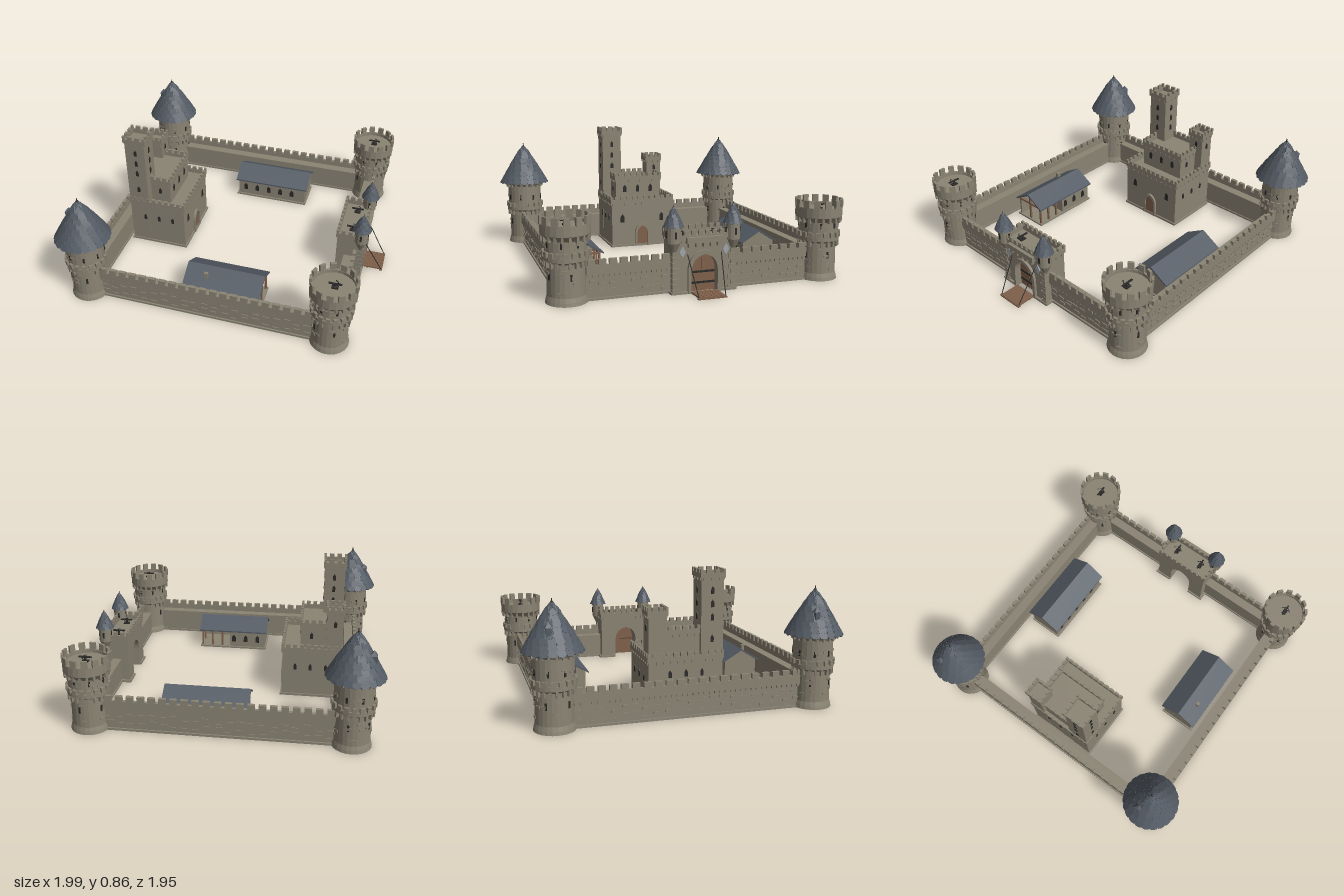
import * as THREE from 'three';
import { mergeGeometries } from 'three/addons/utils/BufferGeometryUtils.js';

const mat = (color) => new THREE.MeshStandardMaterial({ color, flatShading: true });
const STONE = mat(0x8b8474), SLATE = mat(0x545b64), WOOD = mat(0x80604a), DARK = mat(0x2b2a29), PALE = mat(0xa2a6aa);
let seed = 7;
const rnd = () => (seed = (seed * 16807) % 2147483647) / 2147483647;

const merge = (name, material, geos) => {
  const m = new THREE.Mesh(mergeGeometries(geos.map((g) => (g.index ? g.toNonIndexed() : g))), material);
  m.name = name;
  return m;
};
const group = (name, ...kids) => {
  const g = new THREE.Group();
  g.name = name;
  return kids.length ? g.add(...kids) : g;
};
// box given by its bounds
const span = (x0, x1, y0, y1, z0, z1) =>
  new THREE.BoxGeometry(x1 - x0, y1 - y0, z1 - z0).translate((x0 + x1) / 2, (y0 + y1) / 2, (z0 + z1) / 2);
const lathe = (pts, n = 24) => new THREE.LatheGeometry(pts.map((p) => new THREE.Vector2(...p)), n);
const poly = (pts) => new THREE.Shape(pts.map((p) => new THREE.Vector2(...p)));
const extrude = (shape, depth) => new THREE.ExtrudeGeometry(shape, { depth, bevelEnabled: false, curveSegments: 8 });
// cross-section in (z, y) swept from x0 to x1
const sweepX = (shape, x0, x1) => extrude(shape, x1 - x0).rotateY(Math.PI / 2).translate(x0, 0, 0);
// n boxes standing around a circle
const ring = (n, r, y0, y1, w, d, off = 0) => Array.from({ length: n }, (_, i) =>
  span(-w / 2, w / 2, y0, y1, r - d / 2, r + d / 2).rotateY(((i + off) / n) * Math.PI * 2));
const rod = (a, b, r) => {
  const A = new THREE.Vector3(...a), B = new THREE.Vector3(...b);
  return new THREE.TubeGeometry(new THREE.LineCurve3(A, B), 1, r, 5);
};
// arched outline standing on y = 0
const arch = (w, spring, top) => {
  const s = new THREE.Shape();
  s.moveTo(-w, 0).lineTo(w, 0).lineTo(w, spring);
  s.quadraticCurveTo(w * 0.95, top - 0.015, 0, top).quadraticCurveTo(-w * 0.95, top - 0.015, -w, spring);
  return s;
};
const slit = (x, y, z, ry, w = 0.01, h = 0.045) =>
  extrude(arch(w, h * 0.65, h), 0.006).translate(0, 0, -0.003).rotateY(ry).translate(x, y, z);

// parapet, merlons and corbels round a rectangle
function battlement(x0, x1, z0, z1, y, h = 0.05, pitch = 0.045) {
  const out = [], t = 0.016, o = 0.008, m = h * 0.55;
  const side = (len, place) => {
    const n = Math.max(2, Math.round(len / pitch)), p = len / n;
    out.push(place(span(-len / 2, len / 2, y, y + m, -t, 0)));
    for (let i = 0; i <= n; i++) {
      const c = -len / 2 + i * p, a = Math.max(c - p * 0.3, -len / 2), b = Math.min(c + p * 0.3, len / 2);
      out.push(place(span(a, b, y + m, y + h, -t, 0)));
      if (i < n) out.push(place(span(c + p * 0.3, c + p * 0.7, y - 0.016, y, -t, -0.001)));
    }
  };
  x0 -= o; x1 += o; z0 -= o; z1 += o;
  const cx = (x0 + x1) / 2, cz = (z0 + z1) / 2;
  side(x1 - x0, (g) => g.translate(cx, 0, z1));
  side(x1 - x0, (g) => g.rotateY(Math.PI).translate(cx, 0, z0));
  side(z1 - z0, (g) => g.rotateY(Math.PI / 2).translate(x1, 0, cz));
  side(z1 - z0, (g) => g.rotateY(-Math.PI / 2).translate(x0, 0, cz));
  return out;
}

// shingled bell-cone roof with finial, base at y = 0
function shingleRoof(R, H, rows, n0) {
  const rad = (f) => R * Math.pow(Math.max(0, 1 - f), 0.87);
  const core = [[0, 0.004], [R * 0.93, 0.004]];
  for (let i = 1; i <= 8; i++) core.push([rad(i / 8) * 0.95, (H * i) / 8]);
  const tiles = [lathe(core, 20)];
  for (let i = 0; i < rows; i++) {
    const f = i / rows, f2 = Math.min(1, (i + 1.3) / rows), r = rad(f), dr = r - rad(f2), dy = (f2 - f) * H;
    const n = Math.max(6, Math.round((n0 * r) / R)), w = ((Math.PI * r) / n) * 1.02, L = Math.hypot(dr, dy);
    const shape = poly([[0, -L * 0.12], [w * 0.7, 0], [w, L * 0.3], [w * 0.75, L], [-w * 0.75, L], [-w, L * 0.3], [-w * 0.7, 0]]);
    for (let k = 0; k < n; k++)
      tiles.push(extrude(shape, R * 0.03).rotateX(-Math.atan2(dr, dy) + (rnd() - 0.5) * 0.08)
        .translate(0, f * H, r * 0.96).rotateY(((k + (i % 2) / 2) / n) * Math.PI * 2));
  }
  const s = H / 0.26;
  return group('roof', merge('shingles', SLATE, tiles), merge('finial', DARK, [
    rod([0, H - 0.01, 0], [0, H + 0.025 * s, 0], 0.003 * s), new THREE.SphereGeometry(0.007 * s, 8, 6).translate(0, H + 0.006 * s, 0)]));
}

// mounted bolt thrower pointing along +x
function boltThrower(x, y, z) {
  const bow = new THREE.QuadraticBezierCurve3(new THREE.Vector3(0, 0.03, -0.03), new THREE.Vector3(0.04, 0.03, 0), new THREE.Vector3(0, 0.03, 0.03));
  const m = merge('boltThrower', DARK, [span(-0.04, 0.04, 0.026, 0.034, -0.005, 0.005), span(-0.02, 0.02, 0, 0.008, -0.014, 0.014),
    span(-0.006, 0.006, 0, 0.03, -0.006, 0.006), new THREE.TubeGeometry(bow, 8, 0.003, 5)]);
  m.position.set(x, y, z);
  return m;
}

function cornerTower(x, z, roofed) {
  const top = roofed ? 0.455 : 0.395;
  const body = [[0, 0], [0.122, 0], [0.118, 0.02], [0.111, 0.045], [0.109, 0.235], [0.128, 0.248], [0.128, 0.275], [0.12, 0.275], [0.12, top - 0.03]];
  if (roofed) body.push([0.13, top - 0.012], [0.13, top], [0, top]);
  else body.push([0.143, top], [0.143, 0.455], [0.128, 0.455], [0.128, 0.435], [0, 0.435]);
  const stones = [lathe(body), ...ring(18, 0.127, 0.27, 0.302, 0.026, 0.014), ...ring(20, 0.116, 0.212, 0.246, 0.014, 0.022),
    ...ring(20, roofed ? 0.123 : 0.13, top - 0.035, top, 0.014, 0.022)];
  if (!roofed) stones.push(...ring(13, 0.137, 0.45, 0.5, 0.038, 0.016));
  for (let i = 0; i < 26; i++) {
    const low = i % 2, y = low ? 0.06 + rnd() * 0.13 : 0.31 + rnd() * 0.04;
    stones.push(...ring(1, low ? 0.109 : 0.118, y, y + 0.014, 0.03, 0.01, 0).map((g) => g.rotateY(rnd() * 6.28)));
  }
  const slits = [...ring(8, 0.12, 0.325, 0.36, 0.012, 0.006, 0.5), ...ring(5, 0.11, 0.14, 0.18, 0.012, 0.006, 0.3)];
  const t = group('cornerTower', merge('towerBody', STONE, stones), merge('arrowSlits', DARK, slits));
  if (roofed) {
    const r = shingleRoof(0.178, 0.265, 9, 22);
    r.position.y = 0.45;
    t.add(r, merge('dormer', SLATE, [span(-0.11, -0.07, 0.55, 0.6, -0.05, -0.02),
      new THREE.ConeGeometry(0.03, 0.03, 4).rotateY(Math.PI / 4).translate(-0.09, 0.612, -0.035)]));
  } else t.add(boltThrower(0.005, 0.435, 0));
  t.position.set(x, 0, z);
  return t;
}

// curtain wall along x, its outer side facing +z before turning
function curtainWall(len, x, z, ry) {
  const h = len / 2, g = [span(-h, h, 0, 0.165, -0.035, 0.026), span(-h, h, 0, 0.014, -0.042, 0.036),
    span(-h, h, 0.155, 0.17, -0.041, 0.026), span(-h, h, 0.15, 0.205, 0.02, 0.041)];
  const n = Math.round(len / 0.066), p = len / n;
  for (let i = 0; i < n; i++) {
    const c = -h + (i + 0.5) * p;
    g.push(span(c - 0.022, c + 0.022, 0.2, 0.237, 0.02, 0.041));
    for (const o of [-0.25, 0.25]) g.push(span(c + (o - 0.12) * p, c + (o + 0.12) * p, 0.134, 0.151, 0.02, 0.037));
    for (let k = 0; k < 2; k++) {
      const sx = c + (rnd() - 0.5) * p * 0.3, sy = 0.02 + k * 0.05 + rnd() * 0.04;
      g.push(span(sx - 0.02, sx + 0.02, sy, sy + 0.015, 0.02, 0.031));
    }
  }
  const m = merge('curtainWall', STONE, g);
  m.position.set(x, 0, z);
  m.rotation.y = ry;
  return m;
}

function keep() {
  const blocks = [[-0.75, -0.365, -0.232, 0.228, 0.32], [-0.73, -0.478, -0.175, 0.168, 0.475],
    [-0.752, -0.615, 0.09, 0.23, 0.805], [-0.752, -0.645, -0.232, -0.122, 0.595]];
  const stone = [], dark = [], Q = Math.PI / 2;
  for (const [x0, x1, z0, z1, y] of blocks) stone.push(span(x0, x1, 0, y, z0, z1), ...battlement(x0, x1, z0, z1, y));
  stone.push(span(-0.76, -0.355, 0, 0.015, -0.24, 0.236));
  for (const y of [0.42, 0.55, 0.63, 0.71])
    dark.push(slit(-0.68, y, 0.23, 0), slit(-0.68, y, 0.09, 0), slit(-0.752, y, 0.16, Q));
  for (const y of [0.55, 0.63, 0.71]) dark.push(slit(-0.615, y, 0.16, Q));
  for (const z of [-0.1, 0, 0.1]) dark.push(slit(-0.478, 0.385, z, Q, 0.012, 0.055), slit(-0.75, 0.22, z, Q));
  for (const z of [-0.15, 0.15]) dark.push(slit(-0.365, 0.18, z, Q, 0.014, 0.06));
  for (const x of [-0.65, -0.55, -0.45]) dark.push(slit(x, 0.19, 0.228, 0), slit(x, 0.19, -0.232, 0));
  dark.push(slit(-0.55, 0.39, 0.168, 0), slit(-0.55, 0.39, -0.175, 0), slit(-0.645, 0.52, -0.18, Q), slit(-0.7, 0.5, -0.232, 0));
  const frame = arch(0.055, 0.1, 0.17);
  frame.holes.push(arch(0.04, 0.09, 0.15));
  stone.push(sweepX(frame, -0.366, -0.35));
  return group('keep', merge('keepWalls', STONE, stone), merge('keepWindows', DARK, dark),
    merge('keepDoor', WOOD, [sweepX(arch(0.042, 0.09, 0.15), -0.366, -0.36)]));
}

function gatehouse() {
  const body = poly([[-0.19, 0], [-0.082, 0], [-0.082, 0.13]]);
  body.quadraticCurveTo(-0.078, 0.215, 0, 0.23).quadraticCurveTo(0.078, 0.215, 0.082, 0.13);
  body.lineTo(0.082, 0).lineTo(0.19, 0).lineTo(0.19, 0.315).lineTo(-0.19, 0.315);
  const frame = arch(0.102, 0.14, 0.255);
  frame.holes.push(arch(0.082, 0.13, 0.23));
  const stone = [sweepX(body, 0.69, 0.855), ...battlement(0.69, 0.855, -0.19, 0.19, 0.315, 0.055), sweepX(frame, 0.85, 0.872)];
  const dark = [], iron = [], shields = [], g = group('gatehouse');
  for (const s of [-1, 1]) {
    // quoins up the corners
    for (let i = 0; i < 8; i++) {
      const w = i % 2 ? 0.03 : 0.045, a = s * 0.197, b = s * (0.197 - w);
      stone.push(span(0.83, 0.863, i * 0.032, i * 0.032 + 0.029, Math.min(a, b), Math.max(a, b)));
    }
    stone.push(span(0.68, 0.87, 0, 0.015, s * 0.145 - 0.06, s * 0.145 + 0.06));
    // corbelled turret
    const turret = lathe([[0, 0.23], [0.012, 0.24], [0.042, 0.305], [0.042, 0.4], [0.048, 0.405], [0, 0.41]], 14);
    stone.push(turret.translate(0.845, 0, s * 0.185));
    for (const a of [0, 1, 2, 3]) dark.push(...ring(1, 0.042, 0.335, 0.375, 0.012, 0.005).map((b) => b.rotateY(a * Math.PI / 2).translate(0.845, 0, s * 0.185)));
    const r = shingleRoof(0.06, 0.115, 6, 12);
    r.position.set(0.845, 0.4, s * 0.185);
    g.add(r, boltThrower(0.775, 0.315, s * 0.1));
    shields.push(sweepX(poly([[0, 0.215], [0.02, 0.25], [0, 0.285], [-0.02, 0.25]]), 0.854, 0.864).translate(0, 0, s * 0.135));
    iron.push(rod([0.865, 0.235, s * 0.105], [0.99, 0.012, s * 0.082], 0.003));
  }
  for (let i = -2; i <= 2; i++) stone.push(span(0.85, 0.88, 0.275, 0.305, i * 0.045 - 0.012, i * 0.045 + 0.012));
  stone.push(span(0.85, 0.884, 0.3, 0.335, -0.115, 0.115));
  for (const y of [0.045, 0.11]) iron.push(span(0.8, 0.829, y, y + 0.012, -0.08, 0.08));
  // drawbridge planks
  const planks = Array.from({ length: 6 }, (_, i) => span(0.865, 0.997, 0.002, 0.012, -0.081 + i * 0.027, -0.056 + i * 0.027));
  planks.push(span(0.98, 1, 0, 0.009, -0.088, 0.088), span(0.89, 0.905, 0, 0.007, -0.082, 0.082));
  const doors = [span(0.82, 0.828, 0, 0.2, -0.002, 0.002), sweepX(arch(0.082, 0.13, 0.23), 0.8, 0.824)];
  return g.add(merge('gateWalls', STONE, stone), merge('turretSlits', DARK, dark), merge('gateDoors', WOOD, doors),
    merge('chainsAndStraps', DARK, iron), merge('gateShields', PALE, shields), merge('drawbridge', WOOD, planks));
}

// long shed with a gable roof; the open one has a porch on posts at its right end
function shed(name, x0, x1, z0, z1, open) {
  const c = (z0 + z1) / 2, d = (z1 - z0) / 2, w = d - 0.02, end = open ? 0.08 : x1 - 0.015;
  const roof = sweepX(poly([[-d, 0.142], [-d, 0.132], [0, 0.208], [d, 0.132], [d, 0.142], [0, 0.22]].reverse()), x0, x1);
  const walls = [sweepX(poly([[-w, 0], [w, 0], [w, 0.14], [0, 0.208], [-w, 0.14]]), x0 + 0.015, end), span(x0 + 0.005, x1 - 0.005, 0, 0.012, -d + 0.008, d - 0.008)];
  const dark = [], posts = [];
  for (let x = x0 + 0.07; x < end - 0.03; x += 0.09) dark.push(slit(x, 0.05, w, 0, 0.014, 0.055), slit(x, 0.05, -w, 0, 0.014, 0.055));
  if (open) {
    walls.push(span(end, x1 - 0.015, 0, 0.14, w - 0.015, w));
    for (const x of [0.14, 0.215, x1 - 0.02]) posts.push(span(x - 0.006, x + 0.006, 0, 0.14, -w, -w + 0.012));
    posts.push(span(x1 - 0.026, x1 - 0.014, 0, 0.2, -0.006, 0.006), span(end, x1 - 0.01, 0.13, 0.142, -w, -w + 0.012),
      span(x1 - 0.026, x1 - 0.014, 0.13, 0.142, -w, w));
    walls.push(span(-0.07, -0.045, 0.15, 0.215, 0.06, 0.08));
  }
  const g = group(name, merge('shedWalls', STONE, walls), merge('shedRoof', SLATE, [roof]), merge('shedWindows', DARK, dark));
  if (open) g.add(merge('shedPosts', WOOD, posts));
  g.position.z = c;
  return g;
}

export function createModel() {
  const Q = Math.PI / 2, castle = group('castle');
  for (const z of [-0.797, 0.793])
    castle.add(cornerTower(-0.818, z, true), cornerTower(0.772, z, false), curtainWall(0.5, 0.783, Math.sign(z) * 0.44, Q));
  castle.add(curtainWall(1.4, -0.025, 0.795, 0), curtainWall(1.4, -0.025, -0.803, Math.PI), curtainWall(1.4, -0.82, 0, -Q));
  castle.add(keep(), gatehouse(), shed('backBarn', -0.2, 0.345, -0.735, -0.475, false), shed('frontStable', -0.2, 0.31, 0.46, 0.725, true));
  return castle;
}
